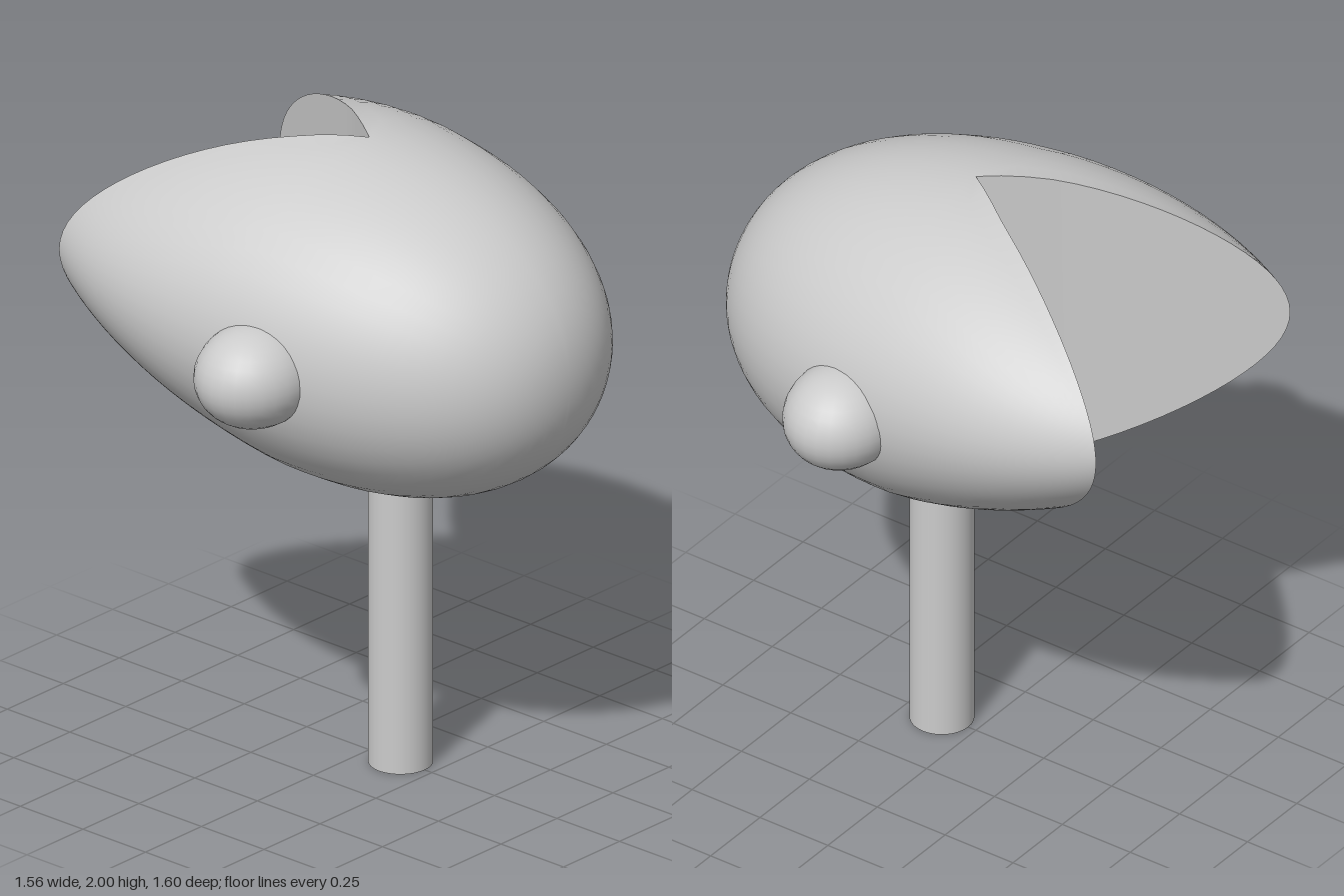
import * as THREE from 'three';
import { mergeGeometries, mergeVertices } from 'three/addons/utils/BufferGeometryUtils.js';

const material = new THREE.MeshStandardMaterial({ color: 0xcccccc });
const round = (u, p) => Math.pow(Math.max(0, 1 - Math.pow(Math.abs(u), p)), 1 / p);

// Head cross-section at depth z: half width, half height, centre height, notch half width
const halfWidth = z => 0.635 * (z > -0.25 ? round((z + 0.25) / 1.05, 2.2) : round((z + 0.25) / 0.87, 2));
const halfHeight = z => z > 0 ? 0.525 * round(z / 0.8, 2.2) : 0.525 - 0.358 * Math.pow(-z, 1.7);
const centreY = z => z > 0 ? 1.475 - 0.1 * z + 0.04 * z * z : 1.475 - 0.13 * z - 0.03 * z * z;
const notch = z => z >= 0 ? 0 : z > -0.2 ? -0.7 * z : 0.14 + (-z - 0.2) * 0.587;

// Point on the head's outer skin; v runs from -1 (lower edge) to 1 (upper edge)
function skin(z, v, side) {
  const w = notch(z), x = halfWidth(z);
  const t = v * (w === 0 ? Math.PI / 2 : Math.acos(Math.min(1, w / x)));
  return [side * x * Math.cos(t), centreY(z) + halfHeight(z) * Math.sin(t), z];
}

// Grid surface from a point rule, with optional reversed faces
function grid(rows, cols, point, flip) {
  const positions = [], index = [];
  for (let i = 0; i <= rows; i++)
    for (let j = 0; j <= cols; j++) positions.push(...point(i / rows, j / cols));
  for (let i = 0; i < rows; i++) {
    for (let j = 0; j < cols; j++) {
      const a = i * (cols + 1) + j, b = a + cols + 1;
      if (flip) index.push(a, a + 1, b, b, a + 1, b + 1);
      else index.push(a, b, a + 1, b, b + 1, a + 1);
    }
  }
  const geometry = new THREE.BufferGeometry();
  geometry.setAttribute('position', new THREE.Float32BufferAttribute(positions, 3));
  geometry.setIndex(index);
  return geometry;
}

function smooth(geometries) {
  const geometry = mergeVertices(mergeGeometries(geometries), 1e-5);
  geometry.computeVertexNormals();
  return geometry;
}

export function createModel() {
  const group = new THREE.Group();
  const add = (name, geometry) => {
    const mesh = new THREE.Mesh(geometry, material);
    mesh.name = name;
    group.add(mesh);
    return mesh;
  };

  // Egg-shaped head, open at the notch
  const depth = u => 0.8 * Math.cos(Math.PI * u);
  const backDepth = u => -0.8 * Math.sin(u * Math.PI / 2);
  add('head', smooth([1, -1].map(side =>
    grid(40, 24, (u, v) => skin(u === 0.5 ? 0 : depth(u), 2 * v - 1, side), side < 0))));

  // Upright walls of the V notch at the back
  for (const side of [1, -1]) {
    add(side > 0 ? 'leftNotchWall' : 'rightNotchWall', smooth([
      grid(20, 1, (u, v) => skin(backDepth(u), 2 * v - 1, side), side > 0)]));
  }

  // Rounded side knobs
  for (const side of [1, -1]) {
    const knob = add(side > 0 ? 'leftKnob' : 'rightKnob', new THREE.SphereGeometry(1, 28, 18));
    knob.scale.set(0.2, 0.16, 0.175);
    knob.position.set(side * 0.58, 1.44, 0.065);
  }

  // Supporting post
  const post = add('post', new THREE.CylinderGeometry(0.097, 0.097, 1.1, 32));
  post.position.set(0, 0.55, 0.125);

  return group;
}
